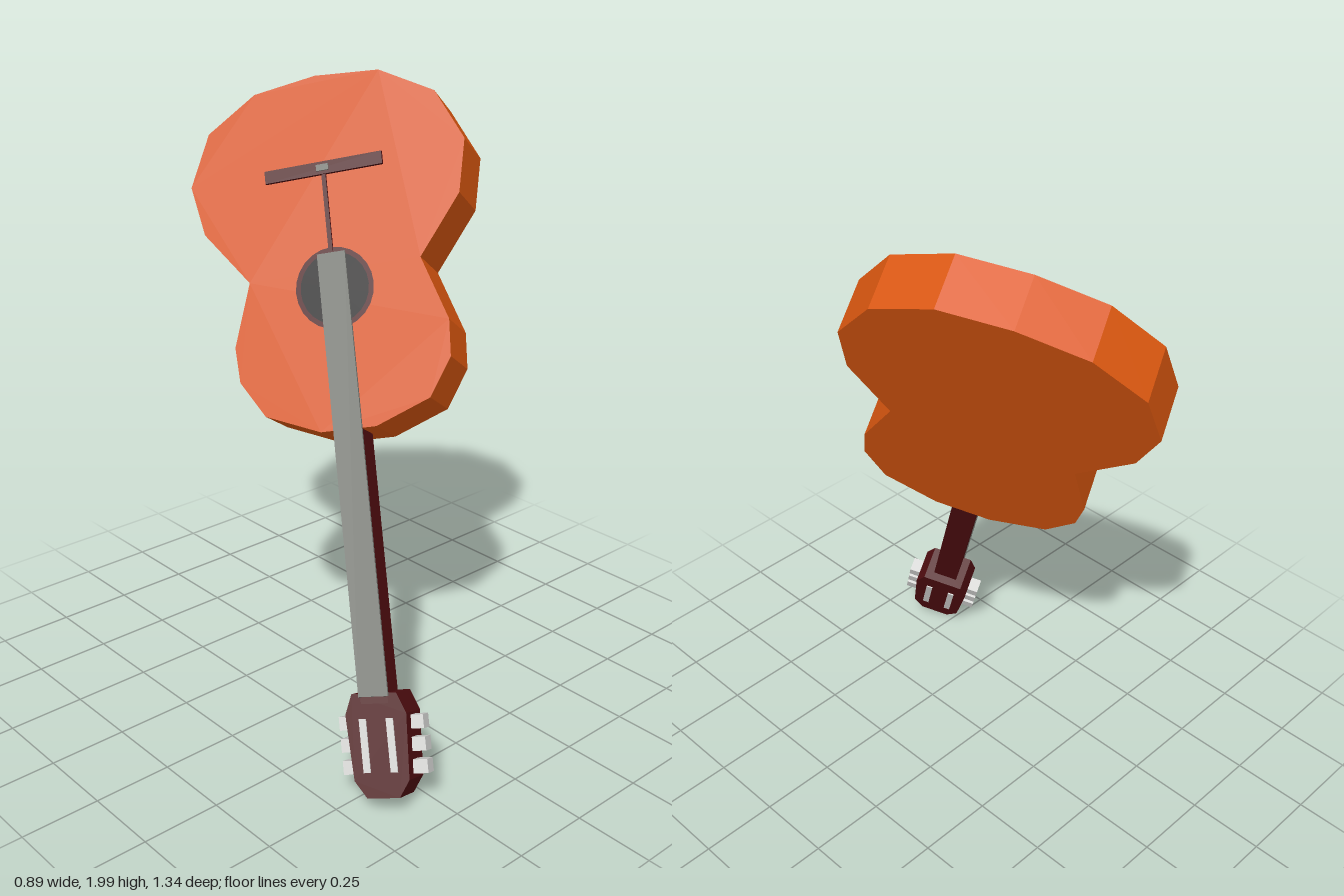
import * as THREE from 'three';

const paint = (name, hex) => {
  const m = new THREE.MeshStandardMaterial({ color: hex, flatShading: true });
  m.name = name;
  return m;
};

export function createModel() {
  const orangeWood = paint('orange wood', 0xd8560f);
  const darkWood = paint('dark red wood', 0x4f0d10);
  const black = paint('black', 0x0c0a0a);
  const grey = paint('string grey', 0x787a74);
  const white = paint('peg white', 0xd2d2d0);

  // Leaning frame: x across, y from head to body, z out of the soundboard.
  // The origin is the centre of the sound hole.
  const across = new THREE.Vector3(0.5, 0.231, 0.833);
  const along = new THREE.Vector3(0.26, 0.86, -0.433);
  const frame = (out) => new THREE.Matrix4()
    .makeBasis(across, along, out).setPosition(-0.026, 1.38, -0.04);
  const bodyFrame = frame(new THREE.Vector3(-0.785, 0.523, 0.333));
  const headFrame = frame(new THREE.Vector3(-0.816, 0.433, 0.37));

  const guitar = new THREE.Group();
  guitar.name = 'guitar';
  const add = (name, geometry, material, matrix = bodyFrame) => {
    const flat = geometry.index ? geometry.toNonIndexed() : geometry;
    flat.applyMatrix4(matrix);
    flat.computeVertexNormals();
    const mesh = new THREE.Mesh(flat, material);
    mesh.name = name;
    guitar.add(mesh);
  };
  const box = (w, l, d, x, y, z) => new THREE.BoxGeometry(w, l, d).translate(x, y, z);

  // Symmetric outline from one half, extruded backwards from z = 0
  const slab = (half, depth) => {
    const left = half.map(([x, y]) => [-x, y]).reverse().filter(([x]) => x !== 0);
    const shape = new THREE.Shape([...half, ...left].map(([x, y]) => new THREE.Vector2(x, y)));
    return new THREE.ExtrudeGeometry(shape, { depth, bevelEnabled: false }).translate(0, 0, -depth);
  };

  // Body
  add('body', slab([
    [0, 0.682], [0.21, 0.66], [0.38, 0.56], [0.457, 0.395], [0.423, 0.233],
    [0.282, 0.056], [0.35, -0.143], [0.343, -0.255], [0.267, -0.37], [0.09, -0.437],
  ], 0.168), orangeWood);

  // Sound hole with its rim
  add('soundHoleRim', new THREE.RingGeometry(0.112, 0.128, 24).translate(0, 0, 0.003), darkWood);
  add('soundHole', new THREE.CircleGeometry(0.112, 24).translate(0, 0, 0.003), black);

  // Bridge and the strip running up to it
  add('bridge', box(0.39, 0.04, 0.009, 0, 0.38, 0.0045), darkWood);
  add('bridgeStrings', box(0.04, 0.02, 0.004, 0, 0.38, 0.011), grey);
  add('stringStrip', box(0.014, 0.28, 0.006, 0, 0.23, 0.003), darkWood);

  // Neck and fretboard
  add('neck', box(0.085, 0.84, 0.095, 0, -0.83, -0.0475), darkWood);
  add('fretboard', box(0.092, 1.34, 0.008, 0, -0.56, 0.004), grey);

  // Head
  const headDepth = 0.125;
  add('head', slab([
    [0.07, -1.22], [0.095, -1.28], [0.085, -1.47], [0.05, -1.52],
  ].reverse(), headDepth), darkWood, headFrame);

  // Slots on both faces of the head, tuning pegs on both sides
  for (const side of [-1, 1]) {
    for (const z of [0.001, -headDepth - 0.001]) {
      add('headSlot', box(0.022, 0.155, 0.006, side * 0.042, -1.37, z), white, headFrame);
    }
    for (const y of [-1.308, -1.372, -1.436]) {
      add('tuningPeg', box(0.05, 0.04, 0.05, side * 0.107, y, -headDepth / 2), white, headFrame);
    }
  }
  return guitar;
}
